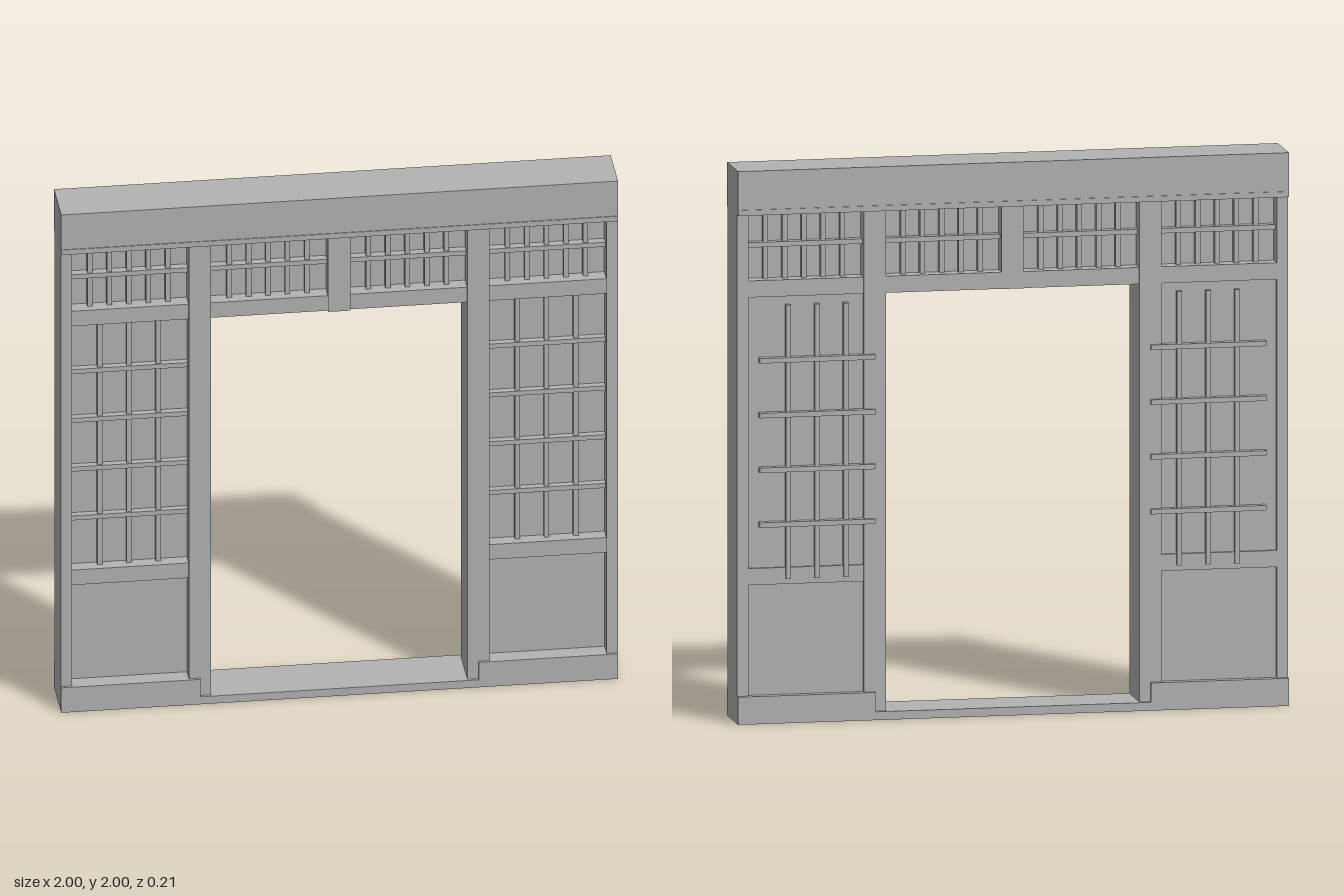
import * as THREE from 'three';

export function createModel() {
  const model = new THREE.Group();
  model.name = 'doorwayScreen';
  const grey = new THREE.MeshStandardMaterial({ color: 0xb3b3b3 });
  grey.name = 'plain grey';

  // Box given by its limits on each axis
  function block(name, x0, x1, y0, y1, z0, z1, parent = model) {
    const mesh = new THREE.Mesh(new THREE.BoxGeometry(x1 - x0, y1 - y0, z1 - z0), grey);
    mesh.position.set((x0 + x1) / 2, (y0 + y1) / 2, (z0 + z1) / 2);
    mesh.name = name;
    parent.add(mesh);
  }

  // Evenly spaced bars; the horizontal ones stand slightly proud of the verticals
  function lattice(name, x0, x1, y0, y1, columns, rows, inner, outer) {
    const group = new THREE.Group();
    group.name = name;
    const w = 0.009;
    const proud = outer + Math.sign(outer - inner) * 0.006;
    for (let i = 1; i < columns; i++) {
      const x = x0 + (x1 - x0) * i / columns;
      block('verticalBar', x - w, x + w, y0, y1, Math.min(inner, outer), Math.max(inner, outer), group);
    }
    for (let j = 1; j < rows; j++) {
      const y = y0 + (y1 - y0) * j / rows;
      block('horizontalBar', x0, x1, y - w, y + w, Math.min(inner, proud), Math.max(inner, proud), group);
    }
    model.add(group);
  }

  // Header beam with a small drip moulding, and the door sill
  block('headerBeam', -1, 1, 1.85, 2, -0.1, 0.1);
  block('frontDrip', -1, 1, 1.84, 1.86, 0.09, 0.103);
  block('backDrip', -1, 1, 1.84, 1.86, -0.104, -0.085);
  block('sill', -0.5, 0.5, 0, 0.03, -0.1, 0.1);

  // Short post over the doorway
  block('centrePost', -0.04, 0.04, 1.54, 1.85, -0.085, 0.09);

  for (const side of [-1, 1]) {
    // Mirrors a pair of x limits to the chosen side
    const span = (a, b) => (side > 0 ? [a, b] : [-b, -a]);
    const bay = span(0.54, 0.96);
    const overDoor = span(0.04, 0.46);

    // Plinth and posts
    block('plinth', ...span(0.5, 1), 0, 0.1, -0.1, 0.1);
    block('outerPost', ...span(0.96, 1), 0.1, 1.85, -0.085, 0.09);
    block('doorPost', ...span(0.46, 0.54), 0.03, 1.85, -0.085, 0.09);

    // Rails
    block('middleRail', ...bay, 0.5, 0.56, -0.08, 0.08);
    block('transomRail', ...bay, 1.54, 1.6, -0.08, 0.08);
    block('doorHeadRail', ...overDoor, 1.54, 1.6, -0.08, 0.08);

    // Solid lower panel and window panel
    block('lowerPanel', ...bay, 0.1, 0.5, -0.07, 0.035);
    block('windowPanel', ...bay, 0.56, 1.54, -0.07, 0.03);
    lattice('frontWindowLattice', ...bay, 0.56, 1.54, 4, 5, 0.03, 0.05);
    // The back lattice is applied over the frame, set towards the doorway
    lattice('backWindowLattice', ...span(0.5, 0.92), 0.52, 1.51, 4, 5, -0.07, -0.092);

    // Transom lights with bars on both faces
    for (const light of [bay, overDoor]) {
      block('transomPanel', ...light, 1.6, 1.85, -0.025, 0.025);
      lattice('frontTransomLattice', ...light, 1.6, 1.85, 6, 2, 0.025, 0.05);
      lattice('backTransomLattice', ...light, 1.6, 1.85, 6, 2, -0.025, -0.05);
    }
  }
  return model;
}
